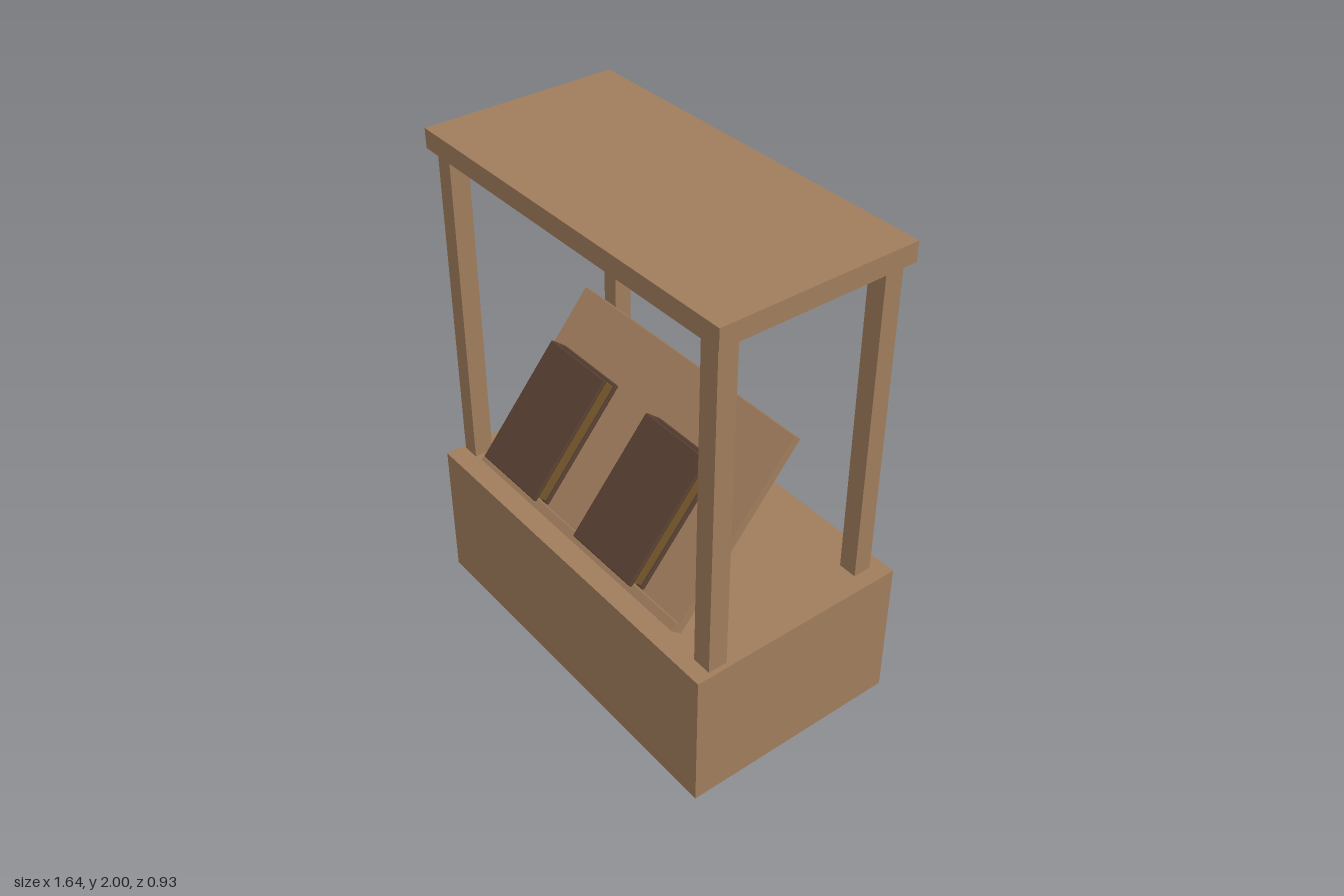
import * as THREE from 'three';
import { RoundedBoxGeometry } from 'three/addons/geometries/RoundedBoxGeometry.js';

const wood = new THREE.MeshStandardMaterial({ name: 'wood', color: 0xa07d5c });
const cover = new THREE.MeshStandardMaterial({ name: 'bookCover', color: 0x583f32 });
const paper = new THREE.MeshStandardMaterial({ name: 'agedPaper', color: 0x74552a });

// Box given by its extents on each axis; a radius rounds its edges
function block(name, material, [x0, x1], [y0, y1], [z0, z1], radius = 0) {
  const size = [x1 - x0, y1 - y0, z1 - z0];
  const geometry = radius
    ? new RoundedBoxGeometry(...size, 2, radius)
    : new THREE.BoxGeometry(...size);
  const mesh = new THREE.Mesh(geometry, material);
  mesh.name = name;
  mesh.position.set((x0 + x1) / 2, (y0 + y1) / 2, (z0 + z1) / 2);
  return mesh;
}

// Closed book lying on the board, spine on the -x side
function createBook(x0, x1) {
  const book = new THREE.Group();
  book.name = 'book';
  const length = [0.04, 0.572];
  book.add(
    block('backCover', cover, [x0, x1], length, [0.04, 0.056], 0.006),
    block('frontCover', cover, [x0, x1], length, [0.11, 0.126], 0.006),
    block('spine', cover, [x0, x0 + 0.016], length, [0.042, 0.124], 0.006),
    block('pages', paper, [x0 + 0.012, x1 - 0.012], [0.052, 0.56], [0.054, 0.112])
  );
  return book;
}

export function createModel() {
  const stall = new THREE.Group();
  stall.name = 'bookStall';

  // Counter and roof
  stall.add(
    block('counter', wood, [-0.79, 0.82], [0, 0.592], [-0.463, 0.463]),
    block('roof', wood, [-0.823, 0.804], [1.922, 2], [-0.41, 0.4])
  );

  // Four slightly uneven posts
  const posts = [
    ['frontRightPost', [-0.775, -0.7], [0.305, 0.383]],
    ['frontLeftPost', [0.72, 0.8], [0.32, 0.399]],
    ['backRightPost', [-0.775, -0.7], [-0.406, -0.33]],
    ['backLeftPost', [0.678, 0.755], [-0.406, -0.33]],
  ];
  for (const [name, x, z] of posts) stall.add(block(name, wood, x, [0.59, 1.923], z));

  // Sloping display board: local y runs up the slope, z out of its face
  const display = new THREE.Group();
  display.name = 'display';
  display.position.set(0, 0.6, 0.361);
  display.rotation.x = THREE.MathUtils.degToRad(-40);
  display.add(
    block('board', wood, [-0.62, 0.6], [0, 0.804], [0, 0.036]),
    block('lip', wood, [-0.62, 0.6], [0, 0.034], [0.036, 0.056]),
    createBook(-0.55, -0.202),
    createBook(0.048, 0.395)
  );
  stall.add(display);

  // Prop behind the board
  stall.add(block('prop', wood, [-0.112, -0.072], [0.59, 1.175], [-0.128, -0.087]));
  return stall;
}
